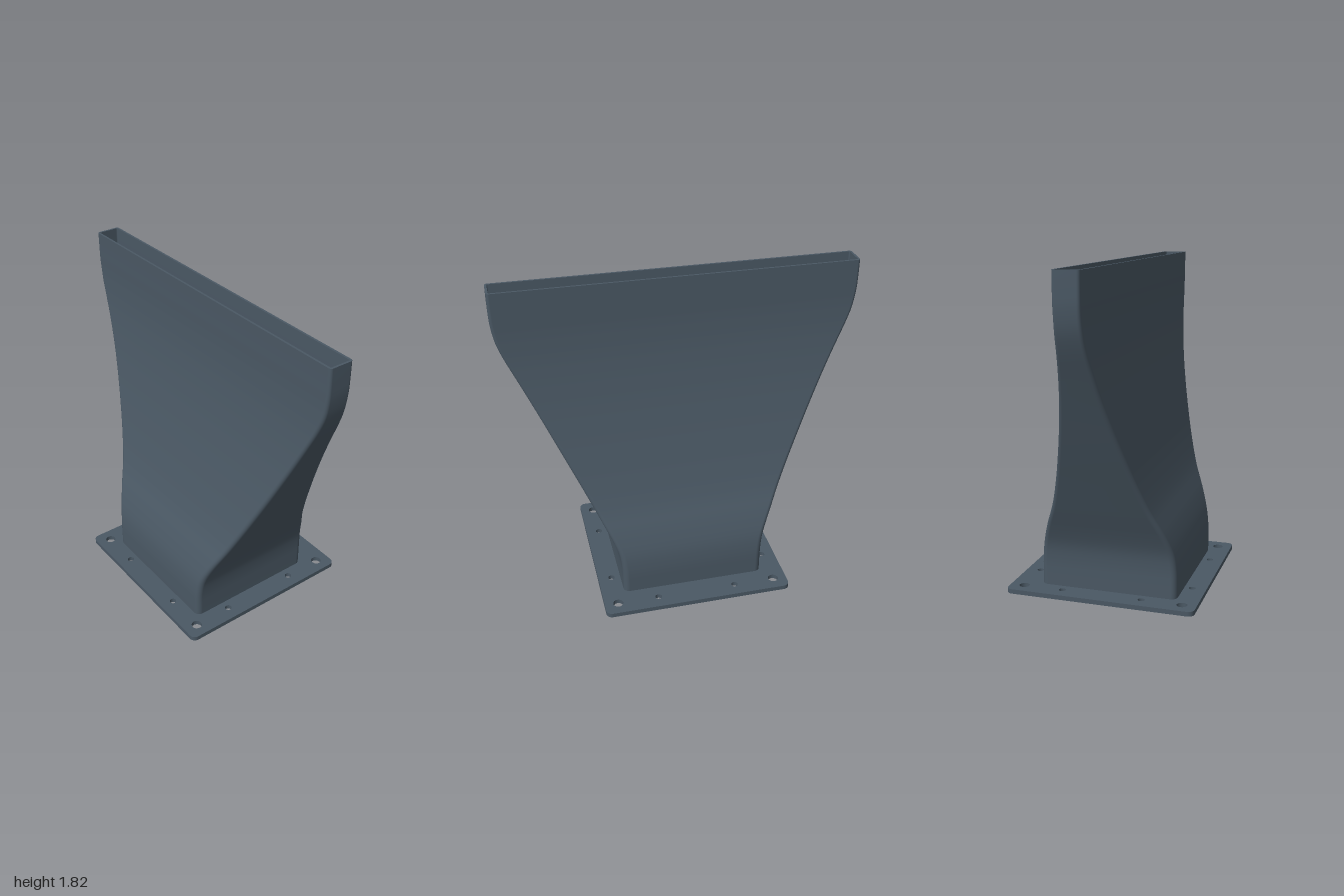
import * as THREE from 'three';

const CENTRE_X = -0.02; // the duct sits slightly off the plate centre
const PLATE = 0.026, TOP = 1.82, WALL = 0.012;

// Half-widths (x) and half-depths (z) of the duct as [height, size]
const curve = (pts) => new THREE.SplineCurve(pts.map(([y, s]) => new THREE.Vector2(s, y)));
const widthCurve = curve([[0, 0.39], [0.1, 0.39], [0.18, 0.388], [0.28, 0.374], [0.4, 0.335], [0.54, 0.276],
  [0.7, 0.225], [0.87, 0.18], [1.03, 0.143], [1.2, 0.11], [1.4, 0.082], [1.56, 0.071], [1.68, 0.07], [TOP, 0.07]]);
const depthCurve = curve([[0, 0.413], [0.1, 0.413], [0.18, 0.415], [0.27, 0.427], [0.36, 0.459], [0.5, 0.522],
  [0.7, 0.612], [0.9, 0.702], [1.1, 0.791], [1.3, 0.881], [1.44, 0.944], [1.54, 0.98], [1.64, 0.997], [1.72, 1], [TOP, 1]]);

// Size on a curve at height y, found by bisection
function sizeAt(c, y) {
  let lo = 0, hi = 1;
  for (let i = 0; i < 24; i++) {
    const mid = (lo + hi) / 2;
    if (c.getPoint(mid).y < y) lo = mid; else hi = mid;
  }
  return c.getPoint((lo + hi) / 2).x;
}

// Rounded-rectangle cross-section at height y, shrunk by inset
function section(y, inset) {
  const hx = sizeAt(widthCurve, y) - inset, hz = sizeAt(depthCurve, y) - inset;
  const r = THREE.MathUtils.lerp(0.035, 0.016, y / TOP) - inset * 0.8;
  const ring = [], steps = 6;
  [[1, 1], [-1, 1], [-1, -1], [1, -1]].forEach(([sx, sz], k) => {
    for (let i = 0; i <= steps; i++) {
      const a = (k + i / steps) * Math.PI / 2;
      ring.push([CENTRE_X + sx * (hx - r) + r * Math.cos(a), y, sz * (hz - r) + r * Math.sin(a)]);
    }
  });
  return ring;
}

// Skin a list of equal rings
function loft(rings, inward = false) {
  const n = rings[0].length, index = [];
  for (let i = 0; i < rings.length - 1; i++) {
    for (let j = 0; j < n; j++) {
      const a = i * n + j, b = i * n + (j + 1) % n, c = a + n, d = b + n;
      if (inward) index.push(a, b, c, b, d, c);
      else index.push(a, c, b, b, c, d);
    }
  }
  const g = new THREE.BufferGeometry();
  g.setAttribute('position', new THREE.Float32BufferAttribute(rings.flat(2), 3));
  g.setIndex(index);
  g.computeVertexNormals();
  return g;
}

// Rounded rectangle outline around (cx, 0)
function roundedRect(path, cx, hx, hz, r) {
  path.absarc(cx + hx - r, hz - r, r, 0, Math.PI / 2);
  path.absarc(cx - hx + r, hz - r, r, Math.PI / 2, Math.PI);
  path.absarc(cx - hx + r, -hz + r, r, Math.PI, Math.PI * 1.5);
  path.absarc(cx + hx - r, -hz + r, r, Math.PI * 1.5, Math.PI * 2);
  path.closePath();
  return path;
}

// Mounting plate with duct opening, corner holes and small side holes
function flangeGeometry() {
  const shape = roundedRect(new THREE.Shape(), 0, 0.535, 0.543, 0.035);
  shape.holes.push(roundedRect(new THREE.Path(), CENTRE_X, 0.39 - WALL, 0.413 - WALL, 0.025));
  const hole = (x, z, r) => shape.holes.push(new THREE.Path().absarc(x, z, r, 0, Math.PI * 2, true));
  for (const sx of [-1, 1]) for (const sz of [-1, 1]) {
    hole(sx * 0.455, sz * 0.465, 0.029);
    hole(sx * 0.455, sz * 0.228, 0.019);
    hole(sx * 0.228, sz * 0.465, 0.019);
  }
  const g = new THREE.ExtrudeGeometry(shape, { depth: PLATE, bevelEnabled: false, curveSegments: 16 });
  return g.rotateX(-Math.PI / 2);
}

// Thin divider that follows the duct walls up to a given height
function vaneGeometry(c, top) {
  const right = [], left = [], steps = 30, thickness = 0.012;
  for (let i = 0; i <= steps; i++) {
    const y = 0.005 + (top - 0.005) * i / steps;
    const s = sizeAt(c, y) - WALL + 0.003;
    right.push(new THREE.Vector2(s, y));
    left.unshift(new THREE.Vector2(-s, y));
  }
  const g = new THREE.ExtrudeGeometry(new THREE.Shape([...right, ...left]), { depth: thickness, bevelEnabled: false });
  return g.translate(0, 0, -thickness / 2);
}

export function createModel() {
  const group = new THREE.Group();
  group.name = 'ductAdapter';
  const slate = new THREE.MeshStandardMaterial({ color: 0x4a5864 });
  slate.name = 'slateGrey';

  const add = (name, geometry) => {
    const mesh = new THREE.Mesh(geometry, slate);
    mesh.name = name;
    group.add(mesh);
    return mesh;
  };

  const rings = (from, inset) => Array.from({ length: 61 }, (_, i) => section(from + (TOP - from) * i / 60, inset));

  add('flange', flangeGeometry());
  add('outerShell', loft(rings(PLATE, 0)));
  add('innerShell', loft(rings(0.001, WALL), true));
  add('topRim', loft([section(TOP, 0), section(TOP, WALL)]));

  // Crossed dividers inside the duct
  const long = add('lengthwiseVane', vaneGeometry(depthCurve, 1.28));
  long.rotation.y = Math.PI / 2;
  long.position.x = CENTRE_X;
  const cross = add('crosswiseVane', vaneGeometry(widthCurve, 1.28));
  cross.position.x = CENTRE_X;

  return group;
}
